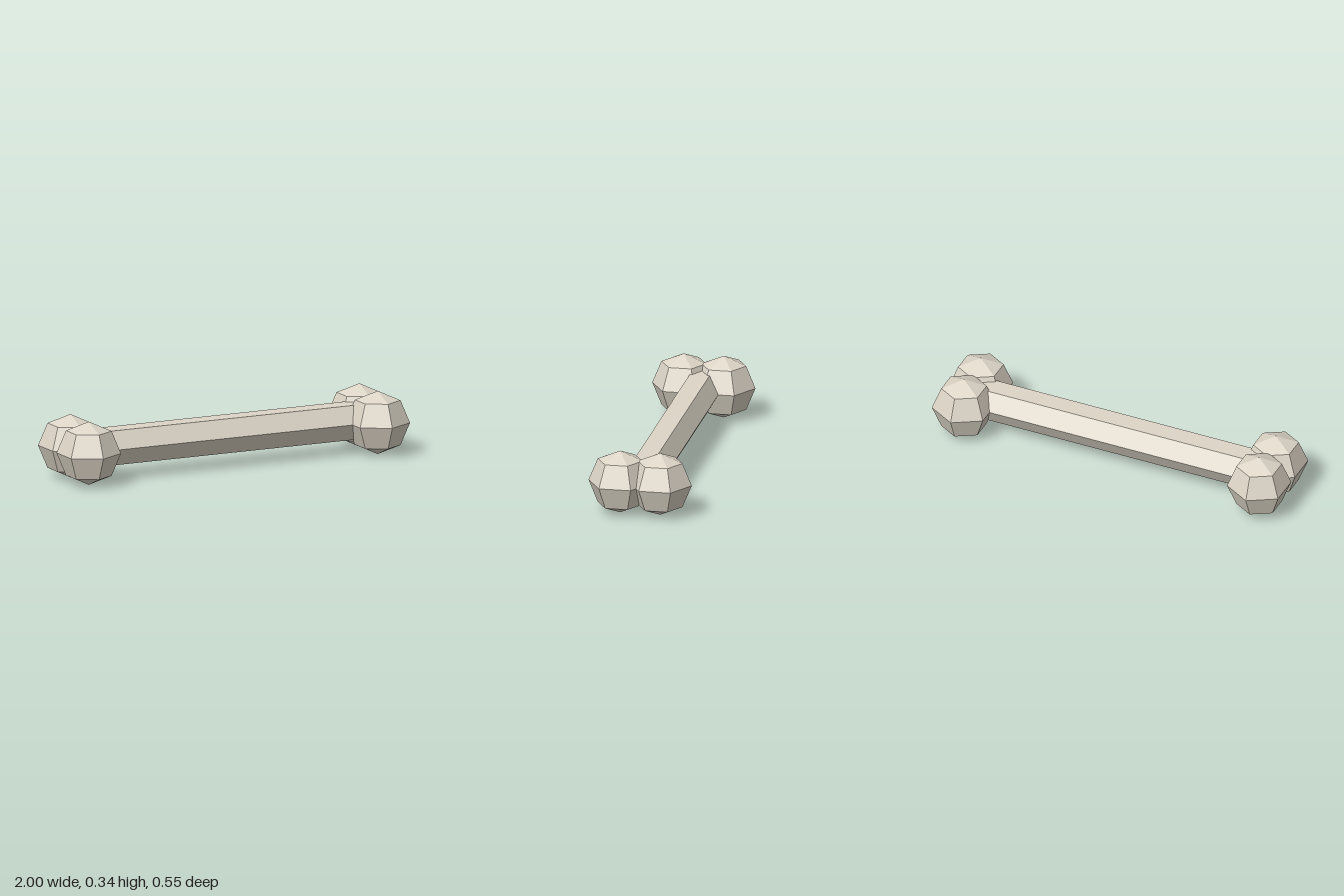
import * as THREE from 'three';

export function createModel() {
  const model = new THREE.Group();
  model.name = 'bone';
  const ivory = new THREE.MeshStandardMaterial({ color: 0xddd5c7, flatShading: true });
  ivory.name = 'ivory';

  const radius = 0.17, knobX = 0.853, knobZ = 0.107;

  // Six-sided shaft lying along x, flat faces up and down
  const shaftGeometry = new THREE.CylinderGeometry(0.107, 0.107, knobX * 2, 6);
  shaftGeometry.rotateZ(Math.PI / 2);
  const shaft = new THREE.Mesh(shaftGeometry, ivory);
  shaft.name = 'shaft';
  shaft.position.y = radius;
  model.add(shaft);

  // Two faceted knobs at each end, corners pointing along z
  const knobGeometry = new THREE.SphereGeometry(radius, 6, 4);
  knobGeometry.rotateY(Math.PI / 2);
  for (const sx of [-1, 1]) {
    for (const sz of [-1, 1]) {
      const knob = new THREE.Mesh(knobGeometry, ivory);
      knob.name = (sx > 0 ? 'left' : 'right') + (sz > 0 ? 'Front' : 'Back') + 'Knob';
      knob.position.set(sx * knobX, radius, sz * knobZ);
      model.add(knob);
    }
  }
  return model;
}
